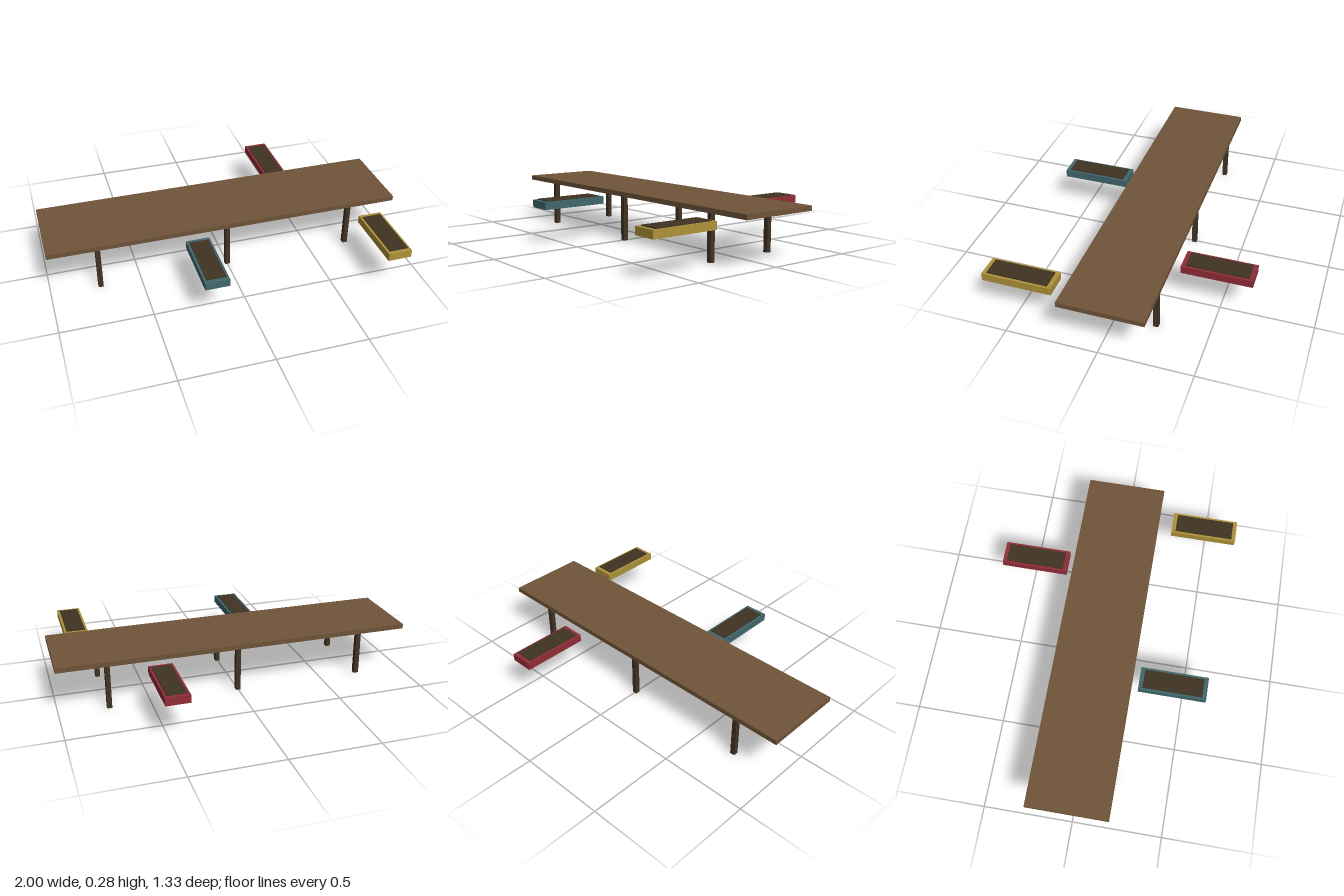
import * as THREE from 'three';

const material = (name, color) => {
  const m = new THREE.MeshStandardMaterial({ color });
  m.name = name;
  return m;
};

export function createModel() {
  const model = new THREE.Group();
  model.name = 'pier';
  const plankWood = material('plank wood', 0x6f5438);
  const darkWood = material('dark wood', 0x403323);

  // Box set by its centre in x and z and its bottom and top in y
  const box = (name, mat, parent, x, z, width, depth, bottom, top) => {
    const mesh = new THREE.Mesh(new THREE.BoxGeometry(width, top - bottom, depth), mat);
    mesh.position.set(x, (bottom + top) / 2, z);
    mesh.name = name;
    parent.add(mesh);
  };

  // Deck
  box('deck', plankWood, model, 0, -0.0225, 2, 0.455, 0.253, 0.28);

  // Posts in three pairs
  for (const x of [-0.727, 0, 0.727]) {
    for (const z of [0.18, -0.221]) {
      box('post', darkWood, model, x, z, 0.027, 0.027, 0, 0.253);
    }
  }

  // Moored boats, each a painted hull with a dark raised inner floor
  const boats = [
    ['teal', 0x40686c, -0.187, 0.432],
    ['red', 0x922c36, 0.453, -0.476],
    ['yellow', 0xae9238, 0.816, 0.476],
  ];
  for (const [colour, hex, x, z] of boats) {
    const boat = new THREE.Group();
    boat.name = `${colour} boat`;
    boat.position.set(x, 0, z);
    box('hull', material(`${colour} paint`, hex), boat, 0, 0, 0.133, 0.382, 0.2, 0.243);
    box('boat floor', darkWood, boat, 0, 0, 0.107, 0.335, 0.236, 0.248);
    model.add(boat);
  }
  return model;
}
